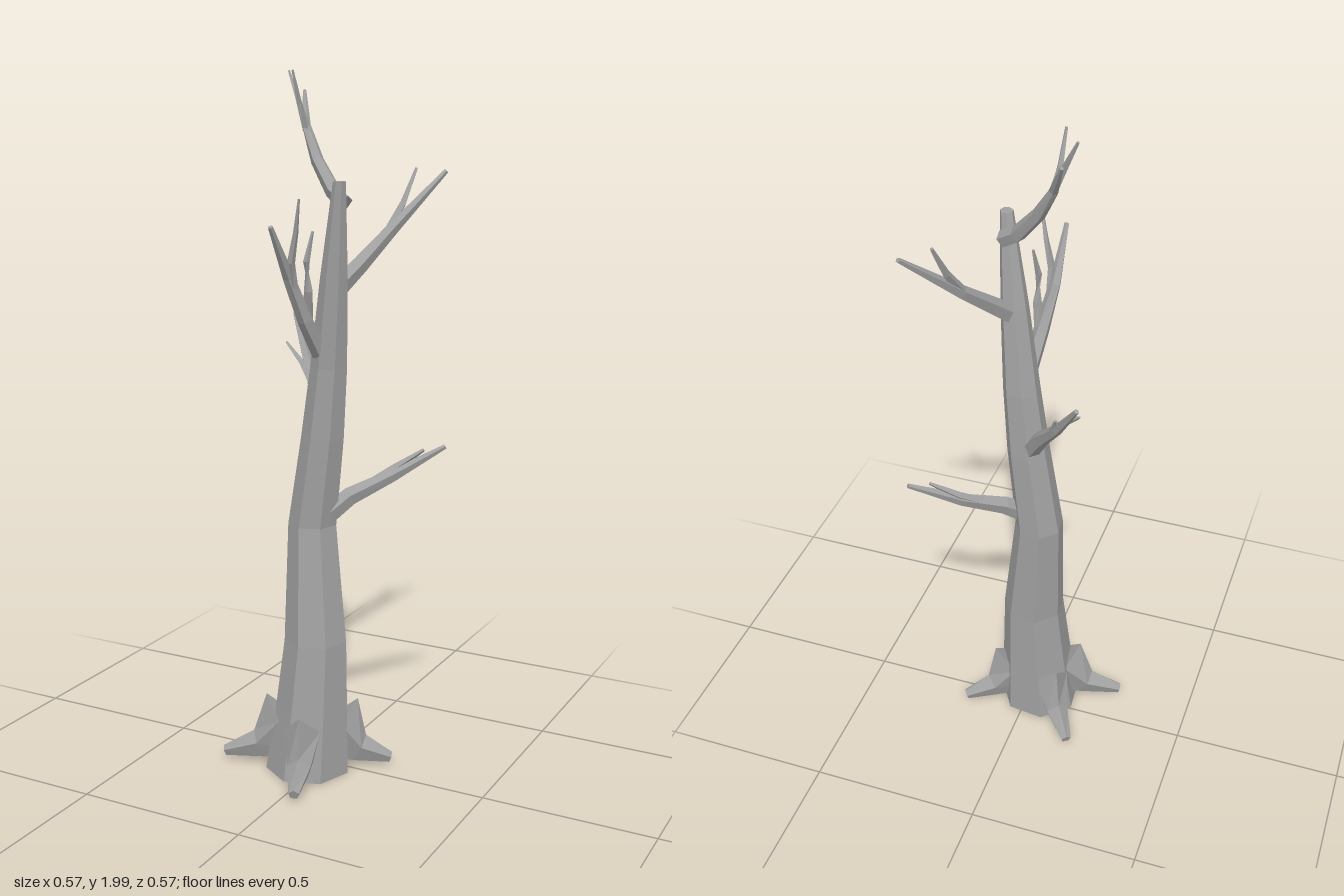
import * as THREE from 'three';

const bark = new THREE.MeshStandardMaterial({ color: 0xa0a0a0, flatShading: true });
bark.name = 'grey bark';

// Faceted tapering limb. Each station is [x, y, z, radius, optional second radius].
function limb(name, stations, sides, { level = false, phase = 0 } = {}) {
  const pts = stations.map(s => new THREE.Vector3(s[0], s[1], s[2]));
  const last = pts.length - 1;
  const rings = pts.map((p, i) => {
    const t = level
      ? new THREE.Vector3(0, 1, 0)
      : pts[Math.min(i + 1, last)].clone().sub(pts[Math.max(i - 1, 0)]).normalize();
    // first axis stays level for slanted limbs, second follows the slope
    const u = level ? new THREE.Vector3(1, 0, 0)
      : new THREE.Vector3(t.z, 0, -t.x).normalize();
    const v = t.clone().cross(u);
    const ru = stations[i][3], rv = stations[i][4] ?? ru;
    return Array.from({ length: sides }, (_, k) => {
      const a = phase + (k / sides) * Math.PI * 2;
      return p.clone().addScaledVector(u, Math.cos(a) * ru).addScaledVector(v, Math.sin(a) * rv);
    });
  });
  const pos = [];
  const tri = (...corners) => corners.forEach(c => pos.push(c.x, c.y, c.z));
  for (let k = 0; k < sides; k++) {
    const n = (k + 1) % sides;
    for (let i = 0; i < last; i++) {
      const a = rings[i], b = rings[i + 1];
      tri(a[k], a[n], b[n]);
      tri(a[k], b[n], b[k]);
    }
    tri(pts[0], rings[0][n], rings[0][k]);
    tri(pts[last], rings[last][k], rings[last][n]);
  }
  const geo = new THREE.BufferGeometry();
  geo.setAttribute('position', new THREE.Float32BufferAttribute(pos, 3));
  geo.computeVertexNormals();
  const mesh = new THREE.Mesh(geo, bark);
  mesh.name = name;
  return mesh;
}

function branch(name, main, twigs) {
  const g = new THREE.Group();
  g.name = name;
  g.add(limb('bough', main, 5, { phase: Math.PI / 2 }));
  twigs.forEach(t => g.add(limb('twig', t, 4)));
  return g;
}

export function createModel() {
  const tree = new THREE.Group();
  tree.name = 'deadTree';

  // Leaning seven-sided trunk
  tree.add(limb('trunk', [
    [-0.03, 0.005, 0.05, 0.124],
    [-0.02, 0.2, 0.04, 0.107],
    [-0.013, 0.4, 0.03, 0.092],
    [-0.035, 0.74, 0.008, 0.071],
    [0.0, 1.0, 0.012, 0.062],
    [0.022, 1.2, 0.018, 0.053],
    [0.05, 1.45, 0.042, 0.039],
    [0.08, 1.71, 0.07, 0.018],
  ], 7, { level: true, phase: -97 * Math.PI / 180 }));

  // Spreading roots, from the trunk surface to the tip
  const roots = [
    [[-0.085, 0.06], [-0.275, 0.115]],
    [[-0.01, 0.115], [0.045, 0.275]],
    [[0.03, 0.015], [0.18, -0.07]],
    [[-0.075, -0.005], [-0.18, -0.15]],
  ];
  roots.forEach(([[x0, z0], [x1, z1]]) => {
    const at = f => [x0 + (x1 - x0) * f, z0 + (z1 - z0) * f];
    const [xm, zm] = at(0.45);
    tree.add(limb('root', [
      [x0, 0.13, z0, 0.055, 0.115],
      [xm, 0.062, zm, 0.035, 0.045],
      [x1, 0.03, z1, 0.016, 0.016],
    ], 5, { phase: Math.PI / 2 }));
  });

  // Low branch to the back left
  tree.add(branch('lowBranch', [
    [0.01, 0.77, 0.01, 0.03],
    [0.06, 0.82, -0.035, 0.027],
    [0.157, 0.875, -0.115, 0.019],
    [0.282, 0.955, -0.2, 0.007],
  ], [[
    [0.08, 0.835, -0.06, 0.014],
    [0.16, 0.895, -0.125, 0.012],
    [0.232, 0.948, -0.163, 0.005],
  ]]));

  // Middle branch to the back right
  tree.add(branch('middleBranch', [
    [-0.02, 1.03, -0.02, 0.027],
    [-0.06, 1.1, -0.06, 0.023],
    [-0.125, 1.19, -0.125, 0.015],
    [-0.198, 1.31, -0.187, 0.007],
  ], [[
    [-0.07, 1.11, -0.07, 0.012],
    [-0.125, 1.185, -0.09, 0.01],
    [-0.183, 1.235, -0.108, 0.004],
  ], [
    [-0.075, 1.12, -0.075, 0.012],
    [-0.11, 1.18, -0.12, 0.009],
    [-0.13, 1.24, -0.15, 0.004],
  ]]));

  // Front branch with two curved twigs
  tree.add(branch('frontBranch', [
    [0.012, 1.24, 0.045, 0.027],
    [-0.005, 1.34, 0.105, 0.023],
    [-0.025, 1.46, 0.16, 0.017],
    [-0.027, 1.6, 0.253, 0.007],
  ], [[
    [-0.015, 1.43, 0.15, 0.012],
    [-0.01, 1.5, 0.175, 0.011],
    [0.01, 1.58, 0.185, 0.008],
    [0.03, 1.67, 0.203, 0.003],
  ], [
    [0.0, 1.33, 0.1, 0.013],
    [0.012, 1.42, 0.12, 0.012],
    [0.012, 1.5, 0.13, 0.009],
    [0.023, 1.58, 0.115, 0.004],
  ]]));

  // High branch to the back left
  tree.add(branch('highBranch', [
    [0.06, 1.43, 0.025, 0.028],
    [0.09, 1.48, -0.03, 0.025],
    [0.135, 1.565, -0.125, 0.019],
    [0.233, 1.725, -0.285, 0.007],
  ], [[
    [0.125, 1.55, -0.11, 0.013],
    [0.152, 1.64, -0.175, 0.011],
    [0.17, 1.735, -0.223, 0.005],
  ]]));

  // Crown branch reaching up to the right
  tree.add(branch('crownBranch', [
    [0.075, 1.65, 0.028, 0.024],
    [0.03, 1.68, 0.01, 0.023],
    [-0.035, 1.76, -0.02, 0.019],
    [-0.085, 1.85, -0.05, 0.013],
    [-0.125, 1.945, -0.115, 0.005],
  ], [[
    [-0.08, 1.84, -0.047, 0.012],
    [-0.115, 1.92, -0.06, 0.009],
    [-0.152, 1.998, -0.075, 0.004],
  ], [
    [-0.08, 1.84, -0.045, 0.012],
    [-0.095, 1.91, -0.03, 0.009],
    [-0.1, 1.998, -0.002, 0.004],
  ]]));

  return tree;
}
